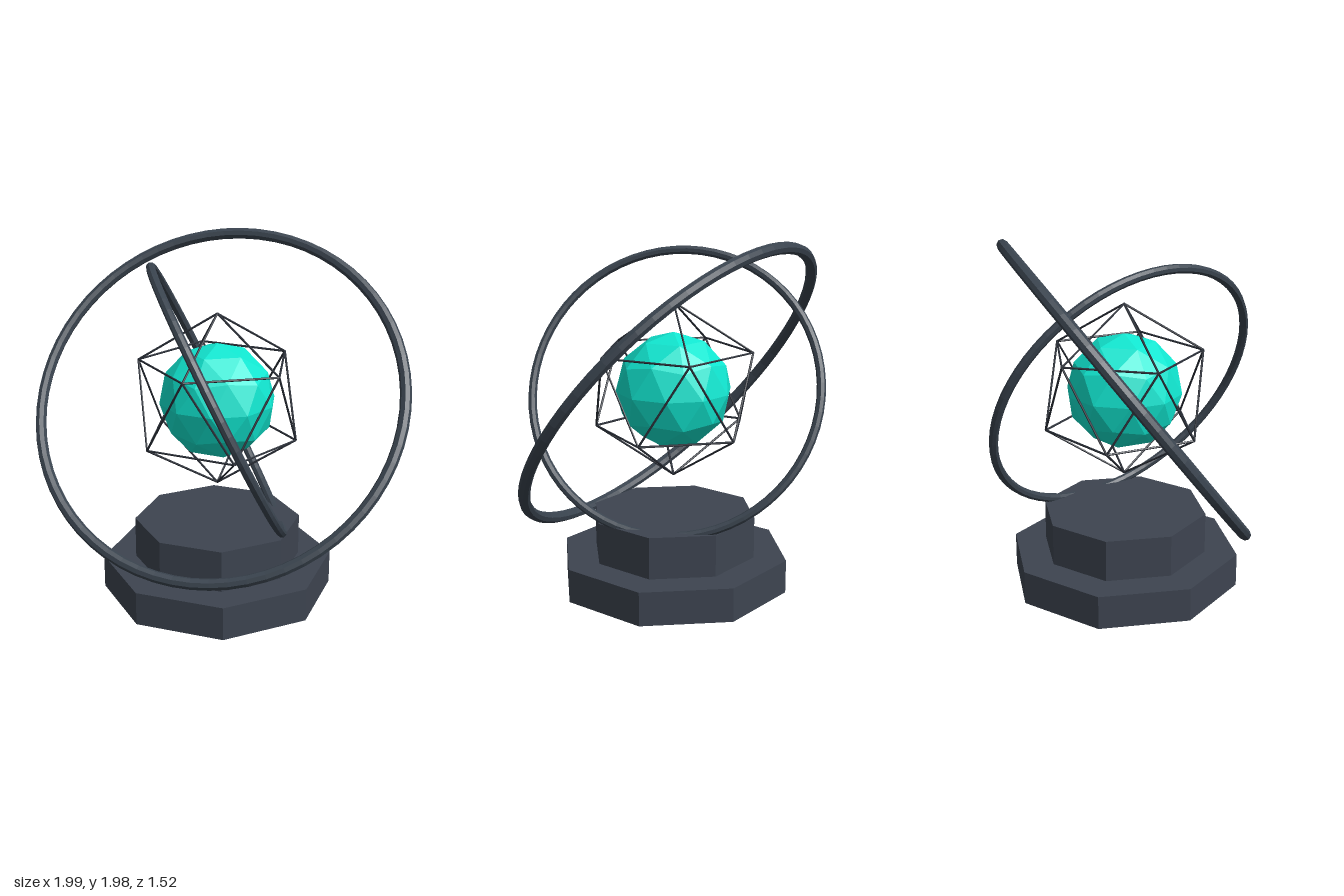
import * as THREE from 'three';

const CENTRE_Y = 1.13;
const UP = new THREE.Vector3(0, 1, 0);

const material = (color) => new THREE.MeshStandardMaterial({ color, flatShading: true });
const stone = material(0x3d4450);
const metal = material(0x3a444f);
const wire = material(0x2a2f38);
const crystal = material(0x11e6d0);

function addMesh(parent, name, geometry, mat) {
  const mesh = new THREE.Mesh(geometry, mat);
  mesh.name = name;
  parent.add(mesh);
  return mesh;
}

// Icosahedron standing on a vertex: two poles and two staggered rings of five
function icosahedron() {
  const ring = 2 / Math.sqrt(5), h = 1 / Math.sqrt(5);
  const points = [[0, 1, 0], [0, -1, 0]];
  for (let i = 0; i < 5; i++) {
    const a = (i * Math.PI * 2) / 5, b = a + Math.PI / 5;
    points.push([ring * Math.cos(a), h, -ring * Math.sin(a)]);
    points.push([ring * Math.cos(b), -h, -ring * Math.sin(b)]);
  }
  const faces = [], edges = [];
  for (let i = 0; i < 5; i++) {
    const u = 2 + 2 * i, l = u + 1;
    const u2 = 2 + 2 * ((i + 1) % 5), l2 = u2 + 1;
    faces.push(0, u, u2, u, l, u2, l, l2, u2, 1, l2, l);
    edges.push([0, u], [u, u2], [u, l], [l, u2], [l, l2], [1, l]);
  }
  return { points, faces, edges };
}

// Wire cage: one thin strut along each edge
function createCage(ico, radius, thickness) {
  const cage = new THREE.Group();
  cage.name = 'wireCage';
  const corners = ico.points.map((p) => new THREE.Vector3(...p).multiplyScalar(radius));
  for (const [i, j] of ico.edges) {
    const span = corners[j].clone().sub(corners[i]);
    const strut = addMesh(cage, 'cageStrut',
      new THREE.CylinderGeometry(thickness, thickness, span.length(), 6), wire);
    strut.position.copy(corners[i]).addScaledVector(span, 0.5);
    strut.quaternion.setFromUnitVectors(UP, span.normalize());
  }
  return cage;
}

// Tilted ring whose axis points along the given direction
function addRing(parent, name, radius, tube, axis) {
  const ring = addMesh(parent, name, new THREE.TorusGeometry(radius, tube, 8, 64), metal);
  ring.quaternion.setFromUnitVectors(new THREE.Vector3(0, 0, 1), new THREE.Vector3(...axis).normalize());
  ring.position.y = CENTRE_Y;
}

export function createModel() {
  const model = new THREE.Group();
  model.name = 'crystalPedestal';

  // Two-step octagonal pedestal
  addMesh(model, 'lowerStep', new THREE.CylinderGeometry(0.655, 0.655, 0.19, 8), stone).position.y = 0.095;
  addMesh(model, 'upperStep', new THREE.CylinderGeometry(0.47, 0.47, 0.235, 8), stone).position.y = 0.3075;

  // Faceted core inside its cage
  const ico = icosahedron();
  addMesh(model, 'crystalCore',
    new THREE.PolyhedronGeometry(ico.points.flat(), ico.faces, 0.325, 1), crystal).position.y = CENTRE_Y;
  const cage = createCage(ico, 0.49, 0.006);
  cage.position.y = CENTRE_Y;
  model.add(cage);

  // Orbiting rings
  addRing(model, 'outerRing', 1.032, 0.032, [0.349, 0.613, 0.709]);
  addRing(model, 'innerRing', 0.815, 0.025, [0.595, 0.433, -0.677]);

  return model;
}
